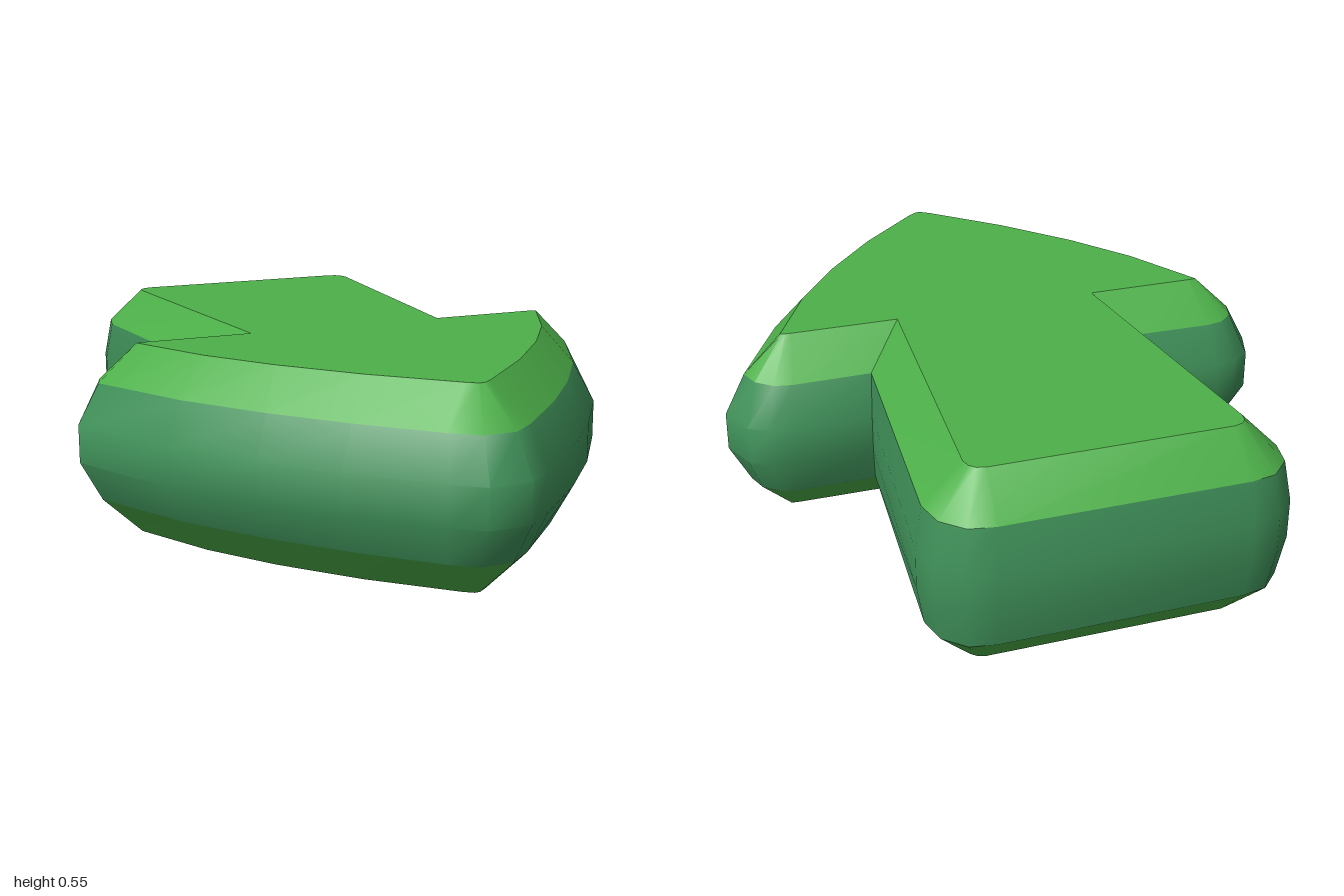
import * as THREE from 'three';
import { toCreasedNormals } from 'three/addons/utils/BufferGeometryUtils.js';

// Half outlines [x, z] from the tip, round the barb and notch, to the tail
const OUTER = [[0.06, 1], [0.14, 0.935], [0.335, 0.745], [0.49, 0.565], [0.65, 0.34], [0.805, 0.01],
  [0.765, -0.095], [0.71, -0.13], [0.645, -0.145], [0.418, -0.135],
  [0.493, -0.84], [0.475, -0.92], [0.415, -0.98], [0.335, -1]];
const MIDDLE = [[0.045, 0.94], [0.115, 0.885], [0.29, 0.705], [0.445, 0.52], [0.6, 0.3], [0.745, 0.015],
  [0.725, -0.045], [0.68, -0.085], [0.63, -0.095], [0.405, -0.092],
  [0.473, -0.83], [0.455, -0.91], [0.4, -0.965], [0.33, -0.978]];
const INNER = [[0.008, 0.84], [0.035, 0.82], [0.225, 0.635], [0.39, 0.44], [0.52, 0.25], [0.635, 0.02],
  [0.63, 0.018], [0.62, 0.017], [0.605, 0.016], [0.297, 0.015],
  [0.368, -0.83], [0.362, -0.855], [0.348, -0.87], [0.325, -0.877]];

const mirror = (half) => [...half, ...half.map(([x, z]) => [-x, z]).reverse()];

// Wall through stacked rings, listed from bottom to top as [halfOutline, y]
function wall(levels) {
  const n = levels[0][0].length * 2;
  const positions = [];
  const index = [];
  levels.forEach(([half, y], k) => {
    mirror(half).forEach(([x, z]) => positions.push(x, y, z));
    if (k === 0) return;
    for (let i = 0; i < n; i++) {
      const j = (i + 1) % n;
      const a = (k - 1) * n + i, b = (k - 1) * n + j;
      index.push(a, b, b + n, a, b + n, a + n);
    }
  });
  const g = new THREE.BufferGeometry();
  g.setAttribute('position', new THREE.Float32BufferAttribute(positions, 3));
  g.setIndex(index);
  return toCreasedNormals(g, 0.75);
}

// Flat arrow face, turned up (1) or down (-1)
function cap(y, dir) {
  const shape = new THREE.Shape(mirror(INNER).map(([x, z]) => new THREE.Vector2(x, -z * dir)));
  return new THREE.ShapeGeometry(shape).rotateX(-dir * Math.PI / 2).translate(0, y, 0);
}

export function createModel() {
  const arrow = new THREE.Group();
  arrow.name = 'arrow';
  const faceGreen = new THREE.MeshStandardMaterial({ color: 0x4db049 });
  faceGreen.name = 'bright green';
  const sideGreen = new THREE.MeshStandardMaterial({ color: 0x40925a });
  sideGreen.name = 'sea green';

  const add = (name, geometry, material) => {
    const mesh = new THREE.Mesh(geometry, material);
    mesh.name = name;
    arrow.add(mesh);
  };

  add('topFace', cap(0.545, 1), faceGreen);
  add('bottomFace', cap(0, -1), faceGreen);
  add('topBevel', wall([[MIDDLE, 0.44], [INNER, 0.545]]), faceGreen);
  add('bottomBevel', wall([[INNER, 0], [MIDDLE, 0.105]]), faceGreen);
  // Rounded rim
  add('rim', wall([[MIDDLE, 0.105], [OUTER, 0.218], [OUTER, 0.327], [MIDDLE, 0.44]]), sideGreen);
  return arrow;
}
